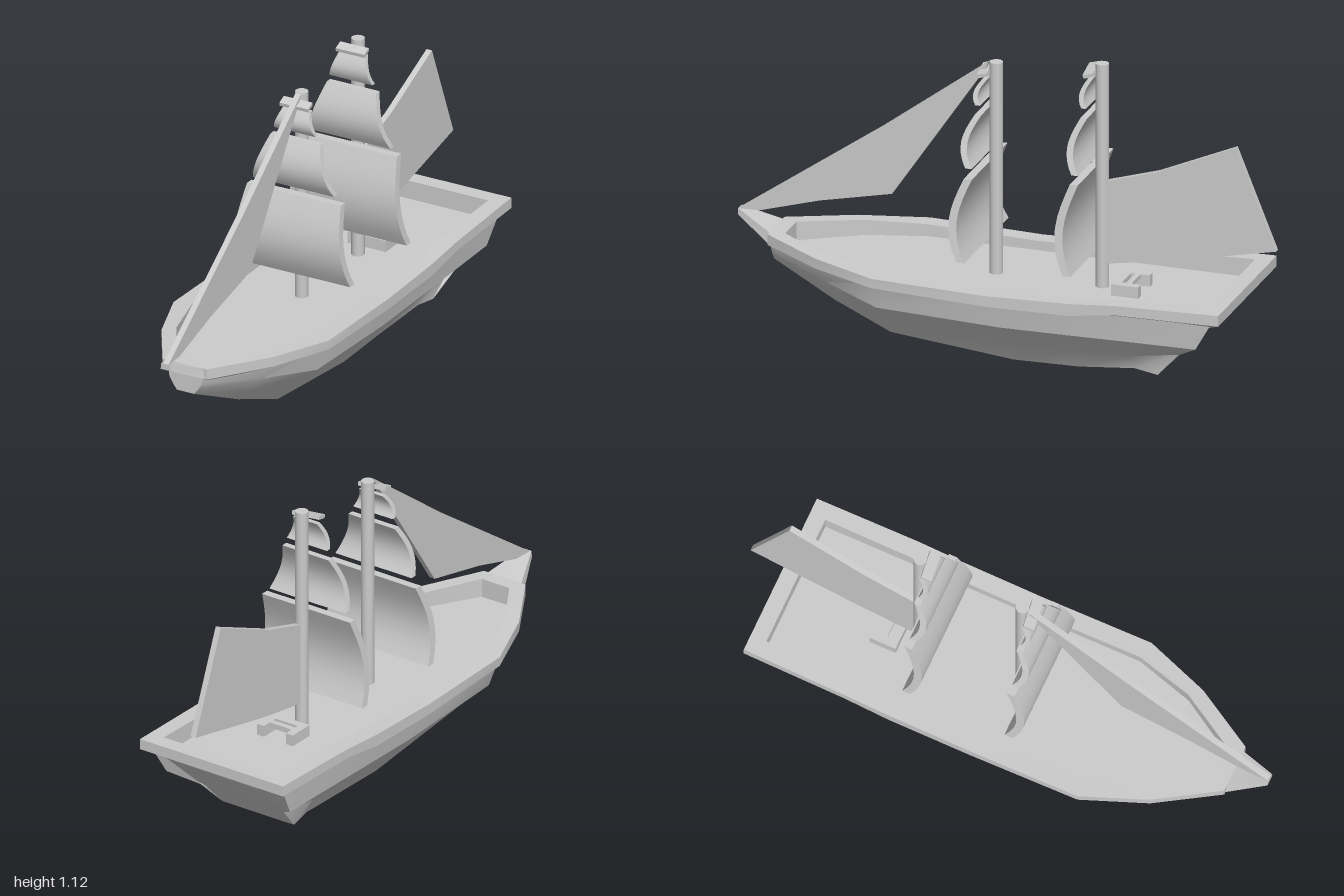
import * as THREE from 'three';
import { toCreasedNormals } from 'three/addons/utils/BufferGeometryUtils.js';

const grey = new THREE.MeshStandardMaterial({ color: 0xcccccc, side: THREE.DoubleSide });

function addMesh(parent, name, geometry) {
  const mesh = new THREE.Mesh(geometry, grey);
  mesh.name = name;
  parent.add(mesh);
  return mesh;
}

// Skin a list of cross-sections, each a list of [x, y, z] points
function loft(sections, { closedSection = true, closedPath = false, caps = false, crease = 0.4 }) {
  const n = sections[0].length, rows = sections.length;
  const index = [];
  for (let i = 0; i < (closedPath ? rows : rows - 1); i++) {
    for (let j = 0; j < (closedSection ? n : n - 1); j++) {
      const k = (j + 1) % n, r = ((i + 1) % rows) * n;
      const a = i * n + j, b = i * n + k, c = r + k, d = r + j;
      index.push(a, b, d, b, c, d);
    }
  }
  if (caps) {
    const last = (rows - 1) * n;
    for (let j = 1; j < n - 1; j++) {
      index.push(0, j + 1, j, last, last + j, last + j + 1);
    }
  }
  const g = new THREE.BufferGeometry();
  g.setAttribute('position', new THREE.Float32BufferAttribute(sections.flat(2), 3));
  g.setIndex(index);
  return toCreasedNormals(g, crease);
}

// Complete a half section (top to keel on the +x side) by mirroring
const mirrored = (half) => [...half, ...half.slice().reverse().map(([x, y, z]) => [-x, y, z])];

// Thin upright sheet in the z-y plane
function sheet(points, thickness) {
  const shape = new THREE.Shape(points.map(([z, y]) => new THREE.Vector2(-z, y)));
  const g = new THREE.ExtrudeGeometry(shape, { depth: thickness, bevelEnabled: false });
  g.translate(0, 0, -thickness / 2);
  return g.rotateY(Math.PI / 2);
}

// Square sail: a slab tapering upward and bellied forward
function squareSail(bottom, top, halfBottom, halfTop, belly, thickness) {
  const g = new THREE.BoxGeometry(2, 1, thickness, 1, 8, 1);
  const p = g.attributes.position;
  for (let i = 0; i < p.count; i++) {
    const t = p.getY(i) + 0.5;
    p.setXYZ(i,
      p.getX(i) * THREE.MathUtils.lerp(halfBottom, halfTop, t),
      THREE.MathUtils.lerp(bottom, top, t),
      p.getZ(i) + belly * Math.sin(Math.PI * Math.pow(t, 0.9)) - 0.012 * t);
  }
  g.computeVertexNormals();
  return g;
}

export function createModel() {
  const ship = new THREE.Group();
  ship.name = 'sailingShip';

  // Hull: [x, y, z] at gunwale, knuckle, bilge and keel, from bow to stern
  const hullSections = [
    [[0.07, 0.315, 0.86], [0.065, 0.285, 0.86], [0.05, 0.26, 0.86], [0.035, 0.24, 0.86]],
    [[0.2, 0.305, 0.62], [0.175, 0.235, 0.62], [0.115, 0.17, 0.62], [0.075, 0.13, 0.62]],
    [[0.29, 0.295, 0.4], [0.268, 0.2, 0.4], [0.16, 0.1, 0.4], [0.11, 0.05, 0.4]],
    [[0.29, 0.28, -0.06], [0.27, 0.185, -0.06], [0.165, 0.085, -0.06], [0.11, 0.005, -0.06]],
    [[0.29, 0.285, -0.3], [0.27, 0.188, -0.3], [0.165, 0.09, -0.3], [0.11, 0.01, -0.3]],
    [[0.29, 0.31, -0.52], [0.27, 0.192, -0.52], [0.17, 0.1, -0.52], [0.145, 0.045, -0.52]],
    [[0.285, 0.315, -0.86], [0.268, 0.195, -0.79], [0.175, 0.13, -0.7], [0.155, 0.035, -0.61]],
  ].map(mirrored);
  addMesh(ship, 'hull', loft(hullSections, { closedSection: false, caps: true, crease: 0.45 }));

  // Bulwark: outer x, outer z, inner x, inner z, top y, bottom y
  const deckY = 0.28;
  const rail = [
    [0.09, 0.865, 0.06, 0.81, 0.35, 0.31],
    [0.225, 0.64, 0.188, 0.6, 0.337, 0.3],
    [0.315, 0.4, 0.25, 0.385, 0.325, 0.29],
    [0.315, -0.02, 0.25, -0.02, 0.315, 0.275],
    [0.315, -0.33, 0.25, -0.33, 0.325, 0.28],
    [0.315, -0.5, 0.25, -0.5, 0.34, 0.305],
    [0.31, -0.89, 0.25, -0.83, 0.35, 0.31],
  ];
  const railSection = (s) => ([xo, zo, xi, zi, top, bottom]) => [
    [s * xi, deckY - 0.005, zi], [s * xi, top, zi], [s * xo, top, zo], [s * xo, bottom, zo],
  ];
  const railLoop = [...rail.map(railSection(1)), ...rail.slice().reverse().map(railSection(-1))];
  addMesh(ship, 'bulwark', loft(railLoop, { closedPath: true }));

  // Deck inside the bulwark
  const half = rail.map(([, , x, z]) => new THREE.Vector2(x, -z));
  const outline = [...half, ...half.slice().reverse().map((v) => new THREE.Vector2(-v.x, v.y))];
  const deck = new THREE.ShapeGeometry(new THREE.Shape(outline)).rotateX(-Math.PI / 2);
  addMesh(ship, 'deck', deck).position.y = deckY;

  // Tapered beak at the bow
  const beak = [
    [[0.018, 0.405, 1], [0.02, 0.382, 1]],
    [[0.072, 0.35, 0.865], [0.08, 0.31, 0.865]],
    [[0.06, 0.345, 0.82], [0.06, 0.31, 0.82]],
  ].map(mirrored);
  addMesh(ship, 'bowBeak', loft(beak, { caps: true }));

  // Masts with square sails: bottom, top, half widths, belly, thickness
  const rigs = [
    {
      name: 'foreMast', z: 0.045, top: 1.075, yard: 1.04, sails: [
        [0.395, 0.695, 0.235, 0.19, 0.042, 0.03],
        [0.725, 0.905, 0.165, 0.1, 0.032, 0.024],
        [0.935, 1.02, 0.085, 0.052, 0.018, 0.018]],
    },
    {
      name: 'mainMast', z: -0.35, top: 1.12, yard: 1.09, sails: [
        [0.395, 0.725, 0.235, 0.19, 0.042, 0.03],
        [0.75, 0.945, 0.165, 0.1, 0.032, 0.024],
        [0.975, 1.075, 0.087, 0.052, 0.018, 0.018]],
    },
  ];
  for (const { name, z, top, yard, sails } of rigs) {
    const rig = new THREE.Group();
    rig.name = name + 'Rig';
    rig.position.z = z;
    ship.add(rig);
    const pole = new THREE.CylinderGeometry(0.024, 0.024, top - deckY + 0.01, 12);
    addMesh(rig, name, pole).position.y = (top + deckY - 0.01) / 2;
    sails.forEach((s, i) => {
      addMesh(rig, name + ['Course', 'Topsail', 'Topgallant'][i], squareSail(...s))
        .position.z = 0.052 - i * 0.006;
    });
    // Small tilted slab at the masthead
    const slab = addMesh(rig, name + 'TopYard', new THREE.BoxGeometry(0.11, 0.014, 0.04));
    slab.position.set(0, yard, 0.04);
    slab.rotation.set(0.25, 0.1, -0.08);
  }

  // Fore-and-aft sails
  addMesh(ship, 'jib', sheet([
    [1, 0.402], [0.47, 0.775], [0.07, 1.075], [0.08, 1.05], [0.43, 0.53], [0.7, 0.47], [0.92, 0.405],
  ], 0.022));
  addMesh(ship, 'spanker', sheet([
    [-0.365, 0.68], [-0.56, 0.74], [-0.85, 0.868], [-1, 0.497], [-0.6, 0.41], [-0.365, 0.37],
  ], 0.022));

  // U-shaped deck bench behind the main mast
  const bench = new THREE.Group();
  bench.name = 'deckBench';
  ship.add(bench);
  const addBox = (name, w, h, d, x, y, z) =>
    addMesh(bench, name, new THREE.BoxGeometry(w, h, d)).position.set(x, y, z);
  addBox('benchBack', 0.155, 0.045, 0.03, 0, deckY + 0.02, -0.425);
  addBox('benchBar', 0.11, 0.015, 0.02, 0, deckY + 0.035, -0.465);
  for (const s of [1, -1]) addBox('benchArm', 0.03, 0.045, 0.1, s * 0.0625, deckY + 0.02, -0.46);

  return ship;
}
